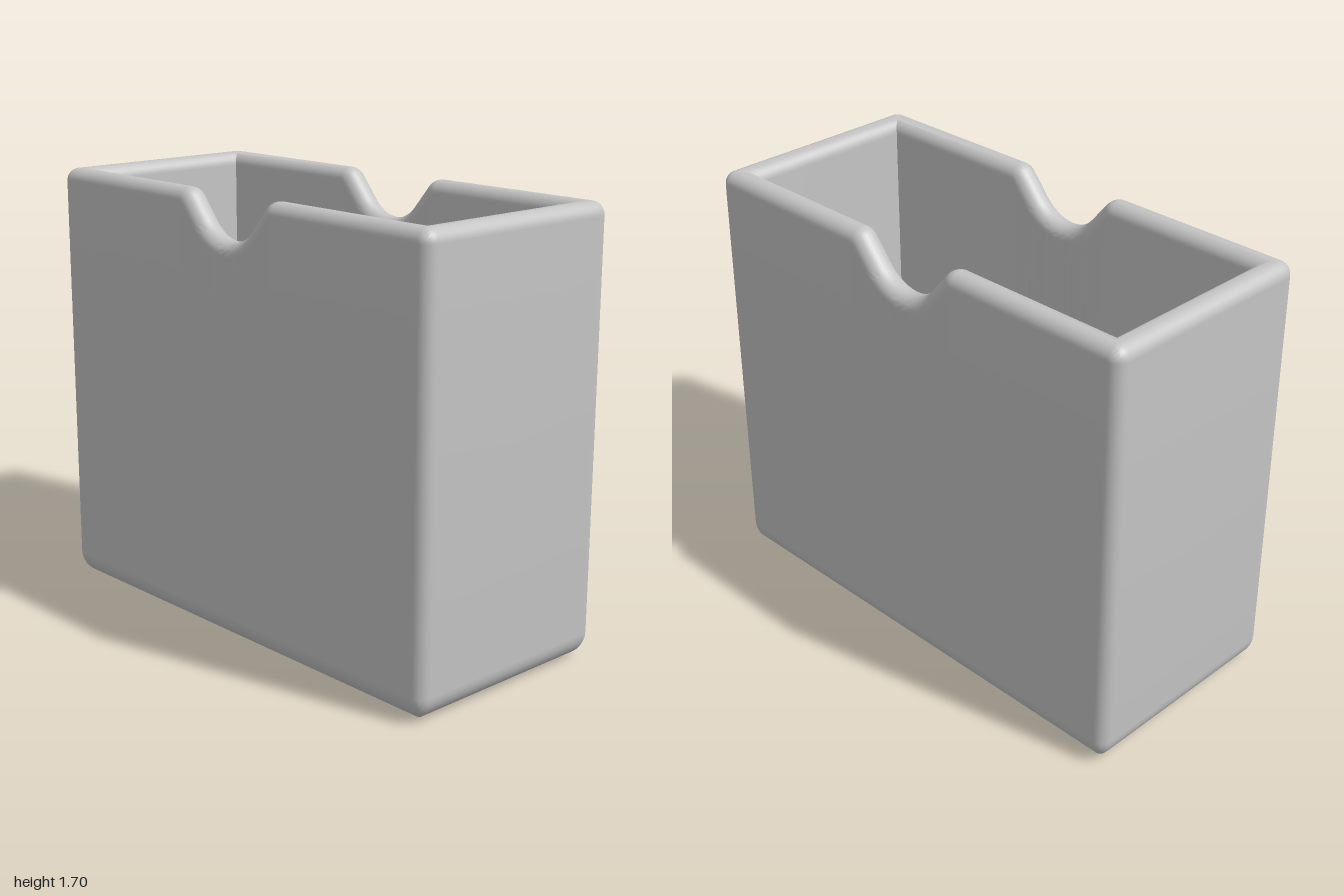
import * as THREE from 'three';
import { toCreasedNormals } from 'three/addons/utils/BufferGeometryUtils.js';

const HX = 1, HZ = 0.455, TOP = 1.7;      // half width, half depth, height
const WALL = 0.105, FLOOR = 0.1;          // wall and floor thickness
const EDGE = 0.05, FOOT = 0.1, COVE = 0.04; // rim/corner, bottom and inner floor radii
const STEPS = 8;

// Thumb notch as rim points with their upward normals, left to right
function notchPoints() {
  const slope = THREE.MathUtils.degToRad(50), R = 0.17, r = 0.06, cx = 0.25;
  const half = [];
  for (let i = 0; i <= 10; i++) {          // concave bottom
    const a = slope * i / 10;
    half.push({ x: R * Math.sin(a), y: TOP - R * Math.cos(a), nx: -Math.sin(a), ny: Math.cos(a) });
  }
  for (let i = 0; i <= STEPS; i++) {       // convex shoulder
    const a = slope * (1 - i / STEPS);
    half.push({ x: cx - r * Math.sin(a), y: TOP - r + r * Math.cos(a), nx: -Math.sin(a), ny: Math.cos(a) });
  }
  half.push({ x: cx + 0.01, y: TOP, nx: 0, ny: 1 });
  half.push({ x: HX - EDGE - 0.008, y: TOP, nx: 0, ny: 1 });
  const mirrored = half.slice(1).reverse().map(p => ({ ...p, x: -p.x, nx: -p.nx }));
  return [...mirrored, ...half];
}

// Stations around the box: front, right, back and left walls with round corners between
function stations() {
  const list = [], notch = notchPoints();
  const corner = (sx, sz, start) => {
    for (let i = 0; i <= STEPS; i++) {
      const a = start + Math.PI / 2 * i / STEPS;
      list.push({ type: 'corner', sx, sz, s: Math.sin(a), c: Math.cos(a) });
    }
  };
  const side = sx => {
    for (const k of [1, -1]) list.push({ type: 'side', sx, z: k * sx * (HZ - EDGE - 0.008) });
  };
  notch.forEach(p => list.push({ type: 'long', sz: 1, ...p }));
  corner(1, 1, 0);
  side(1);
  corner(1, -1, Math.PI / 2);
  [...notch].reverse().forEach(p => list.push({ type: 'long', sz: -1, ...p }));
  corner(-1, -1, Math.PI);
  side(-1);
  corner(-1, 1, Math.PI * 1.5);
  return list;
}

// Cross-section from underside, up the outside, over the rim, down to the inner floor.
// d = inset from the outer face, y = fixed height, or e = depth below the rim line
function profile() {
  const rows = [{ d: HZ, y: 0 }, { d: FOOT + 0.008, y: 0 }];
  const arc = (n, f) => { for (let i = 0; i <= n; i++) rows.push(f(Math.PI / 2 * i / n)); };
  arc(STEPS, a => ({ d: FOOT * (1 - Math.sin(a)), y: FOOT * (1 - Math.cos(a)) }));
  rows.push({ d: 0, y: FOOT + 0.008 }, { d: 0, e: EDGE + 0.005 });
  arc(STEPS, a => ({ d: EDGE * (1 - Math.cos(a)), e: EDGE * (1 - Math.sin(a)) }));
  arc(STEPS, a => ({ d: WALL - EDGE * (1 - Math.sin(a)), e: EDGE * (1 - Math.cos(a)) }));
  rows.push({ d: WALL, e: EDGE + 0.005 }, { d: WALL, y: FLOOR + COVE + 0.008 });
  arc(STEPS, a => ({ d: WALL + COVE * (1 - Math.cos(a)), y: FLOOR + COVE * (1 - Math.sin(a)) }));
  rows.push({ d: WALL + COVE + 0.008, y: FLOOR }, { d: HZ, y: FLOOR });
  return rows;
}

function place(st, row) {
  const hx = HX - row.d, hz = HZ - row.d, r = Math.max(EDGE - row.d, 0);
  const e = row.e ?? EDGE + 0.005;
  let y = row.y ?? TOP - e;
  const clamp = (v, m) => Math.max(-m, Math.min(m, v));
  if (st.type === 'corner') {
    return new THREE.Vector3(st.sx * (hx - r) + r * st.s, y, st.sz * (hz - r) + r * st.c);
  }
  if (st.type === 'side') return new THREE.Vector3(st.sx * hx, y, clamp(st.z, hz - r));
  if (row.y === undefined) y = st.y - st.ny * e;
  return new THREE.Vector3(clamp(st.x - st.nx * e, hx - r), y, st.sz * hz);
}

function shellGeometry() {
  const cols = stations(), rows = profile();
  const grid = cols.map(st => rows.map(row => place(st, row)));
  const pos = [], ab = new THREE.Vector3(), ac = new THREE.Vector3();
  const tri = (a, b, c) => {
    // collapsed triangles at the mitred corners are left out
    if (ab.subVectors(b, a).cross(ac.subVectors(c, a)).length() < 1e-9) return;
    for (const p of [a, b, c]) pos.push(p.x, p.y, p.z);
  };
  for (let j = 0; j < cols.length; j++) {
    const A = grid[j], B = grid[(j + 1) % cols.length];
    for (let i = 0; i < rows.length - 1; i++) {
      tri(A[i], B[i], B[i + 1]);
      tri(A[i], B[i + 1], A[i + 1]);
    }
  }
  const geo = new THREE.BufferGeometry();
  geo.setAttribute('position', new THREE.Float32BufferAttribute(pos, 3));
  return toCreasedNormals(geo, 0.6);
}

export function createModel() {
  const group = new THREE.Group();
  group.name = 'openBox';
  const grey = new THREE.MeshStandardMaterial({ color: 0xc4c4c4 });
  grey.name = 'lightGrey';
  const shell = new THREE.Mesh(shellGeometry(), grey);
  shell.name = 'boxShell';
  group.add(shell);
  return group;
}
